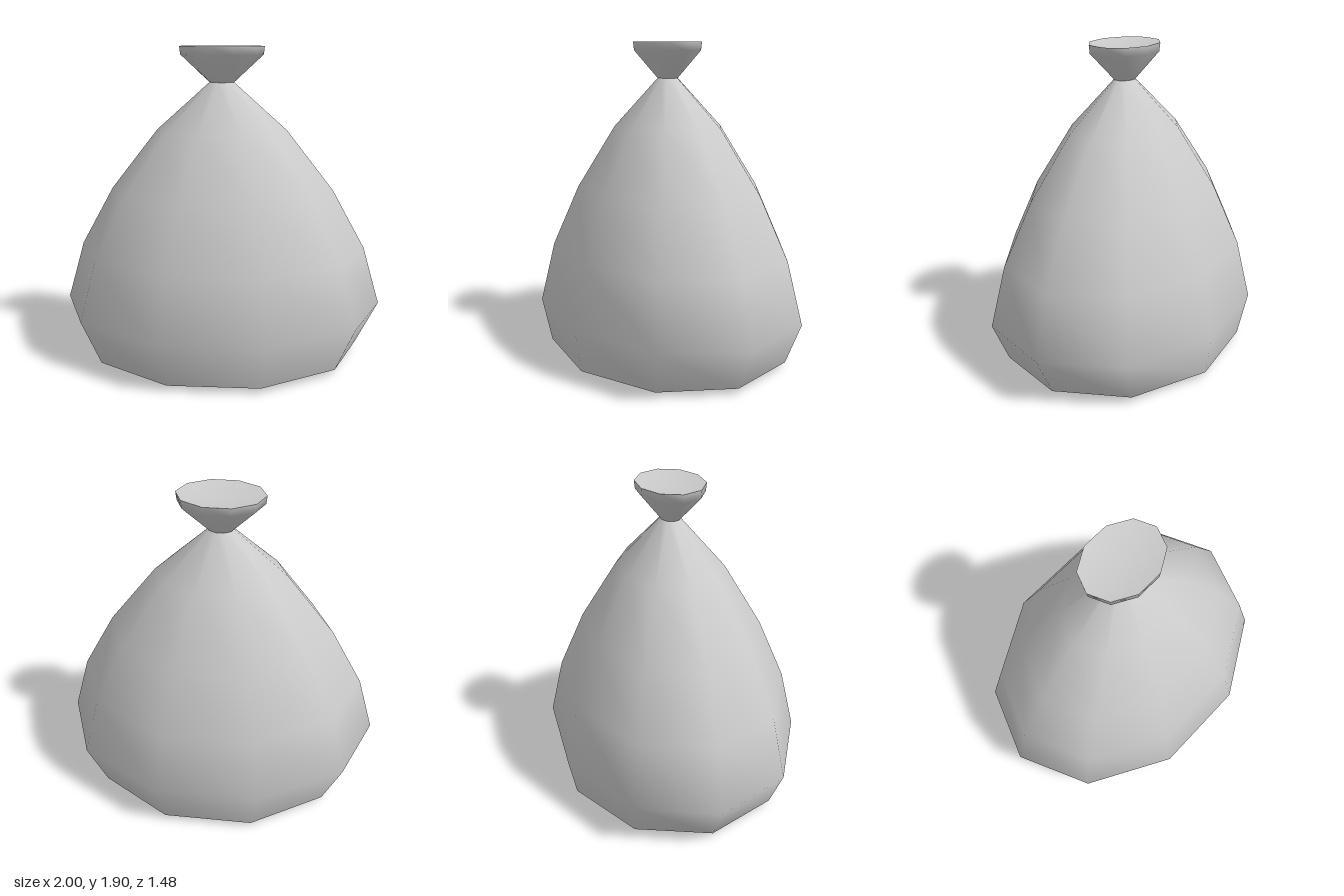
import * as THREE from 'three';

const SIDES = 10;
const material = new THREE.MeshStandardMaterial({ color: 0xcccccc });

// Skin stacked elliptical rings [y, radiusX, radiusZ] (bottom to top) with smooth normals.
// A ring of zero radius closes the surface at a single point.
function skin(name, rings) {
  const positions = [], index = [], starts = [];
  const count = ([, rx]) => (rx === 0 ? 1 : SIDES);
  for (const ring of rings) {
    const [y, rx, rz] = ring;
    starts.push(positions.length / 3);
    for (let i = 0; i < count(ring); i++) {
      const a = (i / SIDES) * Math.PI * 2;
      positions.push(rx * Math.cos(a), y, rz * Math.sin(a));
    }
  }
  for (let r = 0; r < rings.length - 1; r++) {
    const lower = count(rings[r]), upper = count(rings[r + 1]);
    for (let i = 0; i < SIDES; i++) {
      const a = starts[r] + (i % lower), b = starts[r] + ((i + 1) % lower);
      const c = starts[r + 1] + (i % upper), d = starts[r + 1] + ((i + 1) % upper);
      if (upper > 1) index.push(a, c, d);
      if (lower > 1) index.push(a, upper > 1 ? d : c, b);
    }
  }
  const geometry = new THREE.BufferGeometry();
  geometry.setAttribute('position', new THREE.Float32BufferAttribute(positions, 3));
  geometry.setIndex(index);
  geometry.computeVertexNormals();
  const mesh = new THREE.Mesh(geometry, material);
  mesh.name = name;
  return mesh;
}

export function createModel() {
  const group = new THREE.Group();
  group.name = 'tiedSack';

  const base = [0.035, 0.865, 0.731];
  const neck = [1.69, 0.075, 0.06];
  const rim = [1.905, 0.258, 0.202];

  // Shallow pointed underside
  group.add(skin('sackBottom', [[0, 0, 0], base]));

  // Full body narrowing to the tied neck
  group.add(skin('sackBody', [
    base,
    [0.30, 1.0, 0.78],
    [0.665, 0.893, 0.694],
    [1.03, 0.69, 0.538],
    [1.40, 0.40, 0.317],
    neck,
  ]));

  // Flared collar above the neck
  group.add(skin('collar', [neck, [1.855, 0.252, 0.197], rim]));

  // Slightly dished closure inside the collar
  group.add(skin('collarTop', [rim, [1.865, 0, 0]]));

  return group;
}
